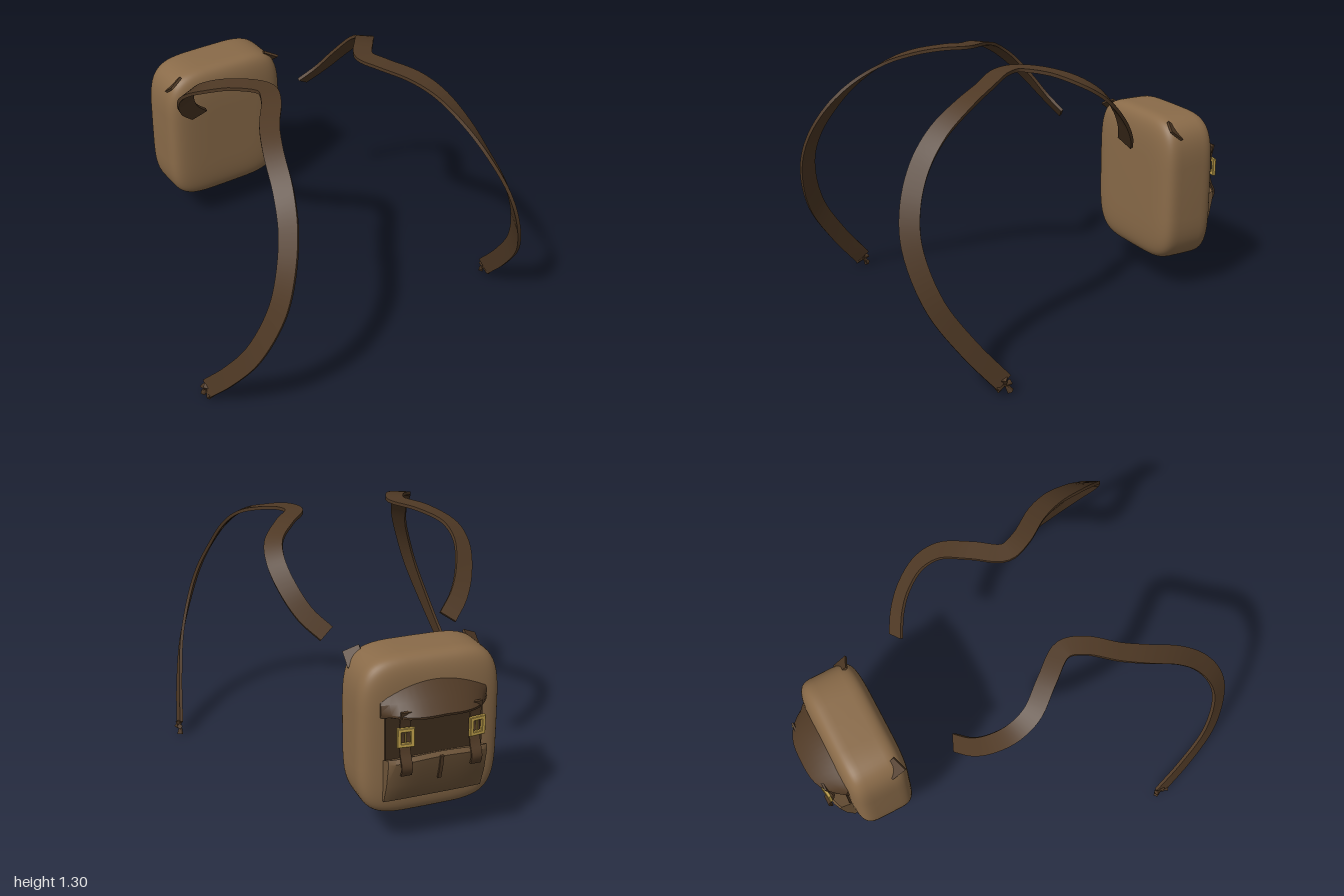
import * as THREE from 'three';
import { mergeVertices, toCreasedNormals } from 'three/addons/utils/BufferGeometryUtils.js';

const V = (x, y, z) => new THREE.Vector3(x, y, z);
const material = (name, color, side = THREE.FrontSide) => {
  const m = new THREE.MeshStandardMaterial({ color, side });
  m.name = name;
  return m;
};

// Closed skin through rings of points (counterclockwise about the advancing direction)
function loft(rings, crease = 0.6) {
  const n = rings[0].length, last = rings.length - 1, pos = [];
  const tri = (...pts) => pts.forEach(p => pos.push(p.x, p.y, p.z));
  for (let i = 0; i < last; i++) {
    for (let j = 0; j < n; j++) {
      const k = (j + 1) % n;
      const a = rings[i][j], b = rings[i][k], c = rings[i + 1][k], d = rings[i + 1][j];
      tri(a, b, d);
      tri(b, c, d);
    }
  }
  for (let j = 1; j < n - 1; j++) {
    tri(rings[0][0], rings[0][j + 1], rings[0][j]);
    tri(rings[last][0], rings[last][j], rings[last][j + 1]);
  }
  const g = new THREE.BufferGeometry();
  g.setAttribute('position', new THREE.Float32BufferAttribute(pos, 3));
  return toCreasedNormals(g, crease);
}

// Flat band along a path; normals say which way its face looks at each path point
function band(points, normals, width, thickness, steps) {
  const path = new THREE.CatmullRomCurve3(points, false, 'centripetal');
  const facing = new THREE.CatmullRomCurve3(normals);
  const rings = [];
  for (let i = 0; i <= steps; i++) {
    const t = i / steps, p = path.getPoint(t), T = path.getTangent(t);
    const N = facing.getPoint(t);
    N.addScaledVector(T, -N.dot(T)).normalize();
    const W = T.clone().cross(N);
    rings.push([[1, -1], [1, 1], [-1, 1], [-1, -1]].map(([n, w]) =>
      p.clone().addScaledVector(N, n * thickness / 2).addScaledVector(W, w * width / 2)));
  }
  return loft(rings);
}

// Soft box: a lathe squared off by superellipse rules, lying along z
function softBox(hx, hy, hz) {
  const power = (v, e) => Math.sign(v) * Math.abs(v) ** e;
  const profile = [];
  for (let i = 0; i <= 40; i++) {
    const a = -Math.PI / 2 + (Math.PI * i) / 40;
    const end = i === 0 || i === 40;
    profile.push(new THREE.Vector2(end ? 0 : power(Math.cos(a), 0.36), power(Math.sin(a), 0.36)));
  }
  let g = new THREE.LatheGeometry(profile, 64);
  const p = g.attributes.position;
  for (let i = 0; i < p.count; i++) {
    const x = p.getX(i), y = p.getY(i), z = p.getZ(i);
    const r = Math.hypot(x, z) || 1e-9;
    const sx = power(x / r, 0.44) * r, sy = power(z / r, 0.44) * r;
    p.setXYZ(i, sx * hx, sy * hy, -y * hz);
  }
  g.deleteAttribute('uv');
  g.deleteAttribute('normal');
  g = mergeVertices(g, 1e-4);
  g.computeVertexNormals();
  return g;
}

// Rectangular frame with a hole
function frame(w, h, bar, depth) {
  const rect = (S, a, b) => new S().moveTo(-a, -b).lineTo(a, -b).lineTo(a, b).lineTo(-a, b).closePath();
  const s = rect(THREE.Shape, w / 2, h / 2);
  s.holes.push(rect(THREE.Path, w / 2 - bar, h / 2 - bar));
  const g = new THREE.ExtrudeGeometry(s, {
    depth: depth - 0.006, bevelEnabled: true, bevelSize: 0.003, bevelThickness: 0.003, bevelSegments: 1
  });
  return g.translate(0, 0, -depth / 2 + 0.003);
}

export function createModel() {
  const group = new THREE.Group();
  group.name = 'backpack';
  const canvas = material('canvas brown', 0x8a6b49);
  const pocketBrown = material('pocket brown', 0x70563a);
  const leather = material('dark leather', 0x4f3925, THREE.DoubleSide);
  const lining = material('dark lining', 0x3d2c1c);
  const brass = material('brass', 0xc2a24c);
  const add = (parent, name, geometry, mat, x = 0, y = 0, z = 0) => {
    const m = new THREE.Mesh(geometry, mat);
    m.name = name;
    m.position.set(x, y, z);
    parent.add(m);
    return m;
  };

  add(group, 'bag', softBox(0.338, 0.385, 0.158), canvas, 0, 0.55, -0.713);
  add(group, 'pocketOpening', new THREE.BoxGeometry(0.46, 0.3, 0.012), lining, 0, 0.58, -0.873);

  // Arched flap with a jutting lip
  const flap = [], pocket = [];
  for (let i = 0; i <= 16; i++) {
    const u = i / 8 - 1, x = u * 0.25, a = Math.abs(u);
    const reach = 0.125 * (1 - a ** 3.2) + 0.008;
    const top = 0.825 - 0.07 * a * a, lip = 0.715 - 0.01 * a;
    flap.push([V(x, top, -0.86), V(x, 0.67, -0.86), V(x, lip - 0.012, -0.867 - reach * 0.97),
      V(x, lip, -0.867 - reach), V(x, (top + lip) / 2 + 0.005, -0.867 - reach * 0.55)]);
    // Lower pocket, leaning out toward its mouth
    const k = 1 - 0.35 * a ** 4, px = u * 0.235, rise = 0.02 * (1 - a * a);
    pocket.push([V(px, 0.465, -0.86), V(px, 0.265, -0.86), V(px, 0.265, -0.868 - 0.01 * k),
      V(px, 0.36, -0.868 - 0.062 * k), V(px, 0.475 + rise, -0.868 - 0.097 * k),
      V(px, 0.495 + rise, -0.868 - 0.085 * k)]);
  }
  add(group, 'flap', loft(flap), leather);
  add(group, 'lowerPocket', loft(pocket), pocketBrown);

  // Shoulder strap path: over the shoulder, down the chest and round the side
  const path = [
    [0.305, 0.868, -0.325], [0.385, 0.95, -0.27], [0.44, 1.05, -0.2], [0.47, 1.16, -0.1],
    [0.45, 1.23, 0], [0.36, 1.28, 0.12], [0.27, 1.295, 0.25], [0.3, 1.293, 0.35],
    [0.39, 1.262, 0.48], [0.445, 1.215, 0.6], [0.49, 1.12, 0.75], [0.535, 1, 0.86],
    [0.595, 0.85, 0.935], [0.65, 0.69, 0.957], [0.73, 0.45, 0.9], [0.785, 0.24, 0.77], [0.825, 0.06, 0.625]
  ].map(p => V(...p));
  const facing = [
    [0, 0.56, -0.83], [0.1, 0.62, -0.78], [0.25, 0.75, -0.6], [0.3, 0.85, -0.4],
    [0.2, 0.97, -0.15], [0, 1, 0], [0, 1, 0], [0, 1, 0],
    [0.1, 0.97, 0.2], [0.3, 0.85, 0.35], [0.55, 0.65, 0.45], [0.75, 0.45, 0.45],
    [0.85, 0.3, 0.45], [0.88, 0.25, 0.4], [0.93, 0.25, 0.25], [0.96, 0.2, 0.1], [0.98, 0.2, 0.05]
  ].map(p => V(...p));

  for (const [side, s] of [['left', 1], ['right', -1]]) {
    const half = new THREE.Group();
    half.name = side + 'Straps';
    half.scale.x = s;
    group.add(half);
    add(half, 'shoulderStrap', band(path, facing, 0.088, 0.016, 90), leather);

    // Frayed strap tip
    for (let i = 0; i < 4; i++) {
      const tip = add(half, 'strapTip', new THREE.ConeGeometry(0.016, 0.075, 4), leather,
        0.825, 0.045, 0.612 + 0.012 * (i % 2));
      tip.rotation.set(0.5 + i * 1.5, 0, 0.2);
    }

    // Strap stub breaking through the bag's upper corner
    const stub = add(half, 'strapAnchor', new THREE.BoxGeometry(0.08, 0.012, 0.085), leather, 0.285, 0.875, -0.632);
    stub.rotation.set(-0.65, 0, -0.55);

    // Closing strap and buckle
    const closing = [V(0.165, 0.73, -0.955), V(0.165, 0.67, -0.94), V(0.165, 0.6, -0.93),
      V(0.165, 0.53, -0.945), V(0.165, 0.47, -0.97), V(0.165, 0.43, -0.958)];
    add(half, 'closingStrap', band(closing, closing.map(() => V(0, 0, -1)), 0.05, 0.01, 20), leather);
    const buckle = add(half, 'buckle', frame(0.072, 0.085, 0.013, 0.018), brass, 0.168, 0.612, -0.957);
    buckle.rotation.y = -0.12;
    add(half, 'bucklePin', new THREE.CylinderGeometry(0.004, 0.004, 0.07, 6), brass, 0.168, 0.612, -0.955);
  }

  // Centre tab on the lower pocket
  add(group, 'pocketTab', band([V(0, 0.5, -0.968), V(0, 0.44, -0.958), V(0, 0.38, -0.941)],
    [V(0, 0, -1), V(0, 0, -1), V(0, 0, -1)], 0.016, 0.009, 6), leather);
  return group;
}
